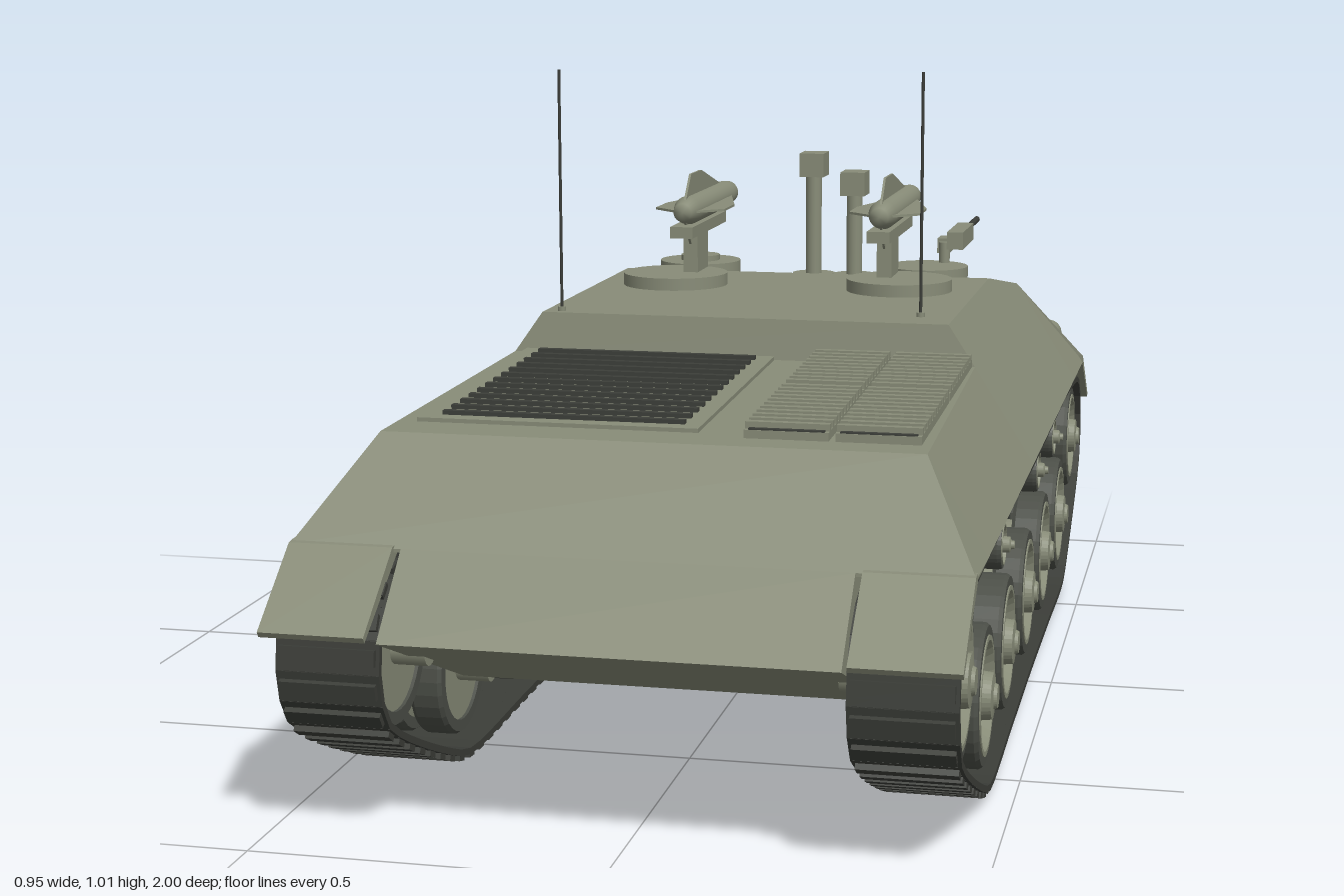
import * as THREE from 'three';
import { mergeGeometries } from 'three/addons/utils/BufferGeometryUtils.js';

const paint = new THREE.MeshStandardMaterial({ color: 0x888c78, side: THREE.DoubleSide });
const flatPaint = new THREE.MeshStandardMaterial({ color: 0x888c78, flatShading: true, side: THREE.DoubleSide });
const rubber = new THREE.MeshStandardMaterial({ color: 0x4c4f48 });
const steel = new THREE.MeshStandardMaterial({ color: 0x3c3e39 });

export function createModel() {
  const root = new THREE.Group();

  const add = (name, geo, mat = paint, x = 0, y = 0, z = 0, parent = root) => {
    const m = new THREE.Mesh(geo, mat);
    m.name = name;
    m.position.set(x, y, z);
    parent.add(m);
    return m;
  };
  // box from its minimum and maximum corners
  const box = (name, x0, x1, y0, y1, z0, z1, mat = paint, parent = root) =>
    add(name, new THREE.BoxGeometry(x1 - x0, y1 - y0, z1 - z0), mat,
      (x0 + x1) / 2, (y0 + y1) / 2, (z0 + z1) / 2, parent);
  const disc = (name, x, z, y0, y1, r, mat = paint, n = 32) =>
    add(name, new THREE.CylinderGeometry(r, r, y1 - y0, n), mat, x, (y0 + y1) / 2, z);
  // cylinder along z
  const rod = (name, x, y, z0, z1, r, mat = paint) => {
    const g = new THREE.CylinderGeometry(r, r, Math.abs(z1 - z0), 16).rotateX(Math.PI / 2);
    return add(name, g, mat, x, y, (z0 + z1) / 2);
  };
  // side profile of [z, y] points, extruded from x0 to x1
  const slab = (name, pts, x0, x1) => {
    const s = new THREE.Shape(pts.map(([z, y]) => new THREE.Vector2(-z, y)));
    const g = new THREE.ExtrudeGeometry(s, { depth: x1 - x0, bevelEnabled: false });
    return add(name, g.rotateY(Math.PI / 2).translate(x0, 0, 0), flatPaint);
  };

  // Lower hull tub with sloped end plates
  slab('lowerHull', [[-0.98, 0.31], [-0.72, 0.145], [0.62, 0.145], [0.98, 0.295],
    [0.875, 0.4], [-0.873, 0.4]], -0.315, 0.315);

  // Upper hull: trapezoid sections [z, roof height] joined along z
  const base = 0.395;
  const halfWidth = (y) => 0.475 - Math.max(0, y - 0.41) * 0.68;
  const rings = [[0.875, 0.4], [0.74, 0.535], [0.13, 0.55], [0.12, 0.615],
    [-0.43, 0.615], [-0.66, 0.575], [-0.865, 0.405]].map(([z, y]) => {
    const w = halfWidth(y);
    return [[-0.475, base, z], [-w, y, z], [w, y, z], [0.475, base, z]];
  });
  const pos = [];
  const quad = (a, b, c, d) => pos.push(...a, ...b, ...c, ...a, ...c, ...d);
  for (let i = 0; i + 1 < rings.length; i++) {
    for (let k = 0; k < 4; k++) {
      const n = (k + 1) % 4;
      quad(rings[i][k], rings[i][n], rings[i + 1][n], rings[i + 1][k]);
    }
  }
  quad(...rings[0].slice().reverse());
  quad(...rings[rings.length - 1]);
  const upper = new THREE.BufferGeometry();
  upper.setAttribute('position', new THREE.Float32BufferAttribute(pos, 3));
  upper.computeVertexNormals();
  add('upperHull', upper, flatPaint);

  // Engine deck grilles, pitched with the deck
  const deckY = (z) => 0.535 + (0.74 - z) * 0.0246;
  const plate = (name, x0, x1, z0, z1, t) => slab(name, [[z0, deckY(z0) - 0.01], [z1, deckY(z1) - 0.01],
    [z1, deckY(z1) + t], [z0, deckY(z0) + t]], x0, x1);
  plate('largeGrille', -0.36, 0.055, 0.13, 0.67, 0.006);
  for (let i = 0; i < 13; i++) {
    const z = 0.16 + i * 0.04;
    box('largeGrilleSlot', -0.33, 0.03, deckY(z), deckY(z) + 0.012, z - 0.006, z + 0.006, steel);
  }
  for (const [z0, z1, count] of [[0.13, 0.395, 10], [0.405, 0.69, 11]]) {
    for (const x0 of [0.125, 0.255]) {
      plate('smallGrille', x0, x0 + 0.12, z0, z1, 0.012);
      for (let i = 0; i < count; i++) {
        const z = z0 + (i + 0.5) * (z1 - z0) / count;
        const y = deckY(z) + 0.008;
        box('smallGrilleSlat', x0, x0 + 0.12, y, y + 0.014, z - 0.008, z + 0.004);
        box('smallGrilleGap', x0 + 0.006, x0 + 0.114, y, y + 0.006, z + 0.004, z + 0.012, steel);
      }
    }
  }

  // Wheels turned about the x axis; s is the side, r the outer radius
  const wheel = (name, s, z, y, r) => {
    const g = new THREE.Group();
    g.name = name;
    const turn = (part, pts, mat) => {
      const geo = new THREE.LatheGeometry(pts.map(([a, b]) => new THREE.Vector2(a, b)), 32);
      geo.rotateZ(-Math.PI / 2);
      add(part, geo.toNonIndexed(), mat, 0, 0, 0, g);
    };
    const tyre = rubber.clone();
    tyre.side = THREE.DoubleSide;
    tyre.flatShading = true;
    for (const x of [0.335, 0.405]) {
      turn('tyre', [[r * 0.8, x], [r * 0.96, x], [r, x + 0.006], [r, x + 0.044],
        [r * 0.96, x + 0.05], [r * 0.8, x + 0.05], [r * 0.8, x]], tyre);
    }
    turn('disc', [[0, 0.34], [r * 0.82, 0.34], [r * 0.82, 0.38], [r * 0.5, 0.385], [r * 0.5, 0.405],
      [r * 0.83, 0.41], [r * 0.83, 0.457], [r * 0.76, 0.457], [r * 0.65, 0.442], [r * 0.34, 0.448],
      [r * 0.32, 0.465], [r * 0.18, 0.467], [r * 0.16, 0.472], [0, 0.472]], flatPaint);
    g.position.set(0, y, z);
    if (s < 0) g.rotation.y = Math.PI;
    root.add(g);
  };

  // Track path in the z-y plane: bottom run, end arcs and a sagging top run
  const path = [];
  const arc = (z, y, r, from, to) => {
    for (let i = 0; i <= 8; i++) {
      const a = THREE.MathUtils.degToRad(from + (to - from) * i / 8);
      path.push(new THREE.Vector3(0, y + r * Math.sin(a), z + r * Math.cos(a)));
    }
  };
  for (const [z, y] of [[-0.61, 0.016], [-0.3, 0.018], [0, 0.021], [0.3, 0.018], [0.58, 0.016], [0.64, 0.032]])
    path.push(new THREE.Vector3(0, y, z));
  arc(0.835, 0.25, 0.123, -45, 85);
  for (const [z, y] of [[0.6, 0.378], [0.365, 0.38], [0, 0.375], [-0.4, 0.378], [-0.65, 0.376]])
    path.push(new THREE.Vector3(0, y, z));
  arc(-0.84, 0.25, 0.112, 95, 220);
  path.push(new THREE.Vector3(0, 0.032, -0.66));
  const points = new THREE.CatmullRomCurve3(path, true, 'centripetal').getSpacedPoints(90);
  const links = [];
  for (let i = 0; i < 90; i++) {
    const a = points[i], b = points[i + 1];
    const len = a.distanceTo(b);
    const place = (g) => links.push(g.rotateX(-Math.atan2(b.y - a.y, b.z - a.z))
      .translate(0, (a.y + b.y) / 2, (a.z + b.z) / 2));
    place(new THREE.BoxGeometry(0.148, 0.01, len + 0.003));
    place(new THREE.BoxGeometry(0.138, 0.009, len * 0.5).translate(0, -0.009, 0));
  }
  const trackGeo = mergeGeometries(links);

  // Running gear, mud flaps and lamps, both sides
  for (const s of [1, -1]) {
    add('track', trackGeo, steel, s * 0.392);
    for (const z of [0.56, 0.275, -0.03, -0.315, -0.61]) wheel('roadWheel', s, z, 0.145, 0.106);
    wheel('driveWheel', s, 0.835, 0.25, 0.114);
    wheel('idlerWheel', s, -0.84, 0.25, 0.098);
    for (const z of [0.365, -0.175, -0.465]) wheel('returnRoller', s, z, 0.322, 0.038);
    for (const z of [0.835, 0.56, 0.275, -0.03, -0.315, -0.61, -0.84]) {
      const axle = new THREE.CylinderGeometry(0.025, 0.025, 0.06, 16).rotateZ(Math.PI / 2);
      add('axle', axle, paint, s * 0.32, Math.abs(z) > 0.8 ? 0.25 : 0.145, z);
    }
    const x0 = s > 0 ? 0.325 : -0.475, x1 = x0 + 0.15;
    slab('frontFlap', [[0.86, 0.405], [0.88, 0.403], [1, 0.308], [0.995, 0.3], [0.86, 0.392]], x0, x1);
    slab('rearFlap', [[-0.85, 0.41], [-0.87, 0.4], [-1, 0.308], [-0.995, 0.3], [-0.85, 0.395]], x0, x1);
    rod('lamp', s * 0.407, 0.452, -0.79, -0.86, 0.025);
    box('lampBracket', s * 0.407 - 0.01, s * 0.407 + 0.01, 0.4, 0.44, -0.84, -0.81);
  }

  // Missile launchers on round turntables
  for (const s of [1, -1]) {
    disc('turntable', s * 0.2, -0.25, 0.6, 0.636, 0.092);
    const x = s * 0.173, y = 0.748;
    box('launcherPost', x - 0.013, x + 0.013, 0.63, 0.71, -0.33, -0.25);
    box('launchRail', x - 0.02, x + 0.02, 0.704, 0.724, -0.45, -0.18);
    const body = [[0, 0.19], [0.016, 0.19], [0.025, 0.23], [0.025, 0.5], [0.021, 0.55], [0.012, 0.585], [0, 0.605]];
    const g = new THREE.LatheGeometry(body.map(([r, l]) => new THREE.Vector2(r, l)), 24).rotateX(-Math.PI / 2);
    add('missileBody', g, paint, x, y);
    const fin = new THREE.Shape([[0, 0.19], [0.062, 0.25], [0.062, 0.33], [0.024, 0.48], [0, 0.5]]
      .map(([a, b]) => new THREE.Vector2(a, b)));
    for (let k = 0; k < 4; k++) {
      const f = new THREE.ExtrudeGeometry(fin, { depth: 0.004, bevelEnabled: false })
        .translate(0, 0, -0.002).rotateX(-Math.PI / 2).rotateZ(k * Math.PI / 2);
      add('missileFin', f, flatPaint, x, y);
    }
  }

  // Crew hatches
  for (const x of [-0.22, 0.21]) disc('hatch', x, -0.53, 0.58, 0.622, 0.075);
  disc('hatchCap', -0.22, -0.53, 0.62, 0.632, 0.036);

  // Sighting periscopes
  for (const [x, top] of [[-0.018, 0.82], [0.06, 0.786]]) {
    disc('periscopeBase', x, -0.61, 0.57, 0.592, 0.04);
    disc('periscopeTube', x, -0.608, 0.57, top - 0.04, 0.015, paint, 16);
    box('periscopeHead', x - 0.023, x + 0.023, top - 0.044, top, -0.64, -0.58);
  }

  // Roof machine gun
  disc('gunMount', 0.235, -0.58, 0.59, 0.66, 0.01);
  box('gunBody', 0.243, 0.273, 0.65, 0.682, -0.71, -0.55);
  box('gunFeed', 0.22, 0.243, 0.638, 0.665, -0.64, -0.59);
  rod('gunBarrel', 0.257, 0.668, -0.7, -0.895, 0.006, steel);

  // Bow machine gun in a domed housing
  const dome = add('bowGunHousing', new THREE.SphereGeometry(0.065, 24, 16), paint, 0.215, 0.425, -0.825);
  dome.scale.set(1, 0.55, 0.95);
  rod('bowGunSleeve', 0.215, 0.415, -0.84, -0.91, 0.014);
  rod('bowGunBarrel', 0.215, 0.408, -0.9, -0.98, 0.008, steel);

  // Whip antennas
  for (const [x, z] of [[-0.308, 0.1], [0.28, 0.045]]) {
    disc('antenna', x, z, 0.61, 1.01, 0.0025, steel, 8);
    disc('antennaBase', x, z, 0.61, 0.622, 0.007, paint, 12);
  }
  return root;
}
